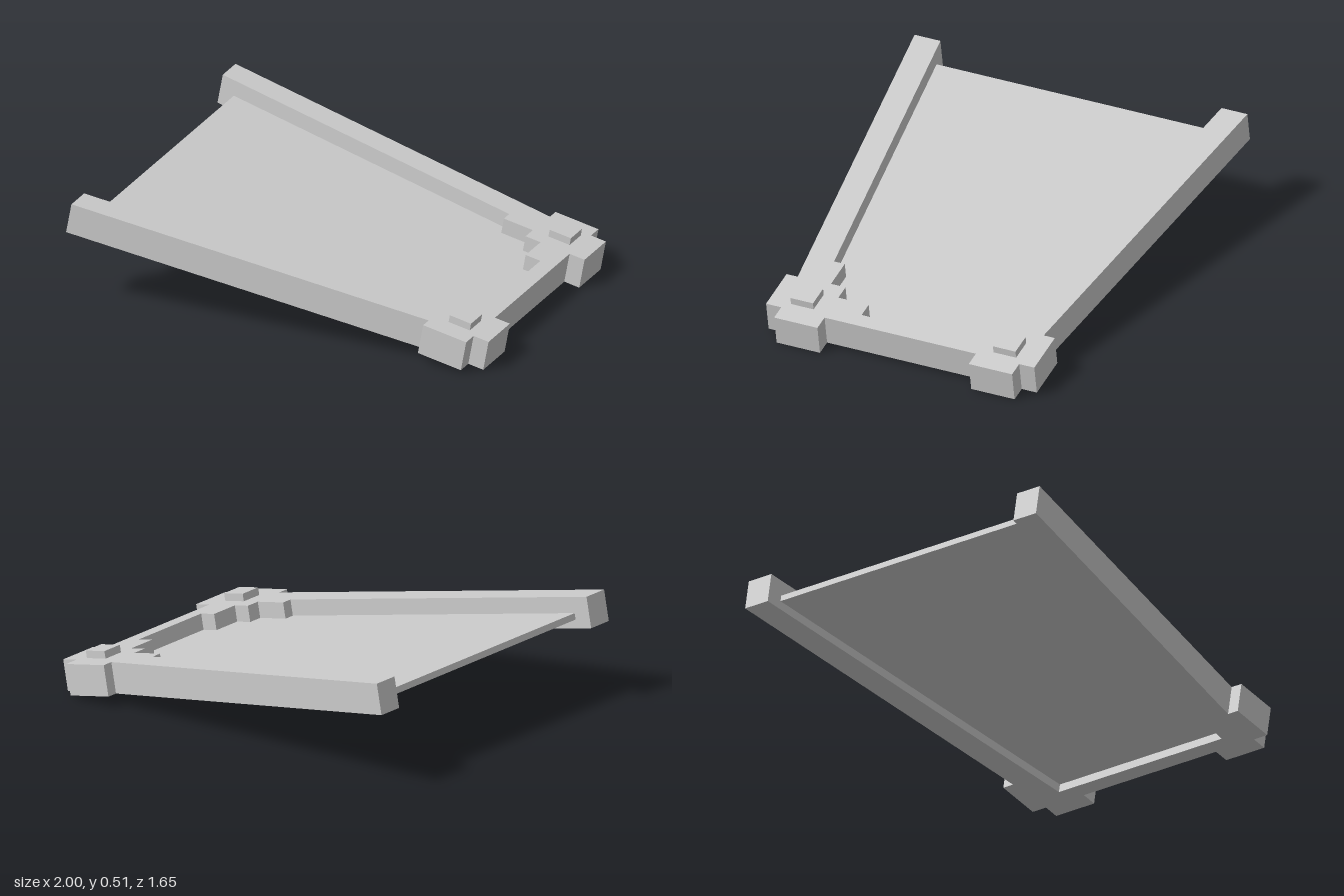
import * as THREE from 'three';

const TILT = 0.184;    // downward slope towards +x
const THICK = 0.146;   // frame thickness
const SEAT = -0.075;   // height of the panel's top below the frame's top

const material = new THREE.MeshStandardMaterial({ color: 0xcccccc, flatShading: true });

// Mirrors a half profile of [x, z] points across z = 0 into a closed shape.
function mirroredShape(half) {
  const other = half.map(([x, z]) => [x, -z]).reverse();
  return new THREE.Shape([...half, ...other].map(([x, z]) => new THREE.Vector2(x, z)));
}

// Flat plate lying between two heights.
function plate(name, half, bottom, top) {
  const geometry = new THREE.ExtrudeGeometry(mirroredShape(half), { depth: top - bottom, bevelEnabled: false });
  geometry.rotateX(-Math.PI / 2);
  geometry.translate(0, bottom, 0);
  const mesh = new THREE.Mesh(geometry, material);
  mesh.name = name;
  return mesh;
}

export function createModel() {
  const model = new THREE.Group();
  model.name = 'slopedTray';
  const tray = new THREE.Group();
  tray.name = 'tray';
  tray.rotation.z = -TILT;
  tray.position.y = 0.33;
  model.add(tray);

  // Outer edge: cross beam, corner blocks, then the flaring rail
  const outer = [
    [0.941, 0.375], [1.017, 0.375], [1.017, 0.59], [0.941, 0.59],
    [0.941, 0.665], [0.722, 0.665], [0.722, 0.61], [-0.989, 0.825],
  ];
  const railEnd = [-0.989, 0.697];

  // Upper frame has stepped inner corners, lower frame has plain ones
  const steps = [
    [0.57, 0.5], [0.57, 0.447], [0.717, 0.447], [0.717, 0.375],
    [0.793, 0.375], [0.793, 0.225], [0.868, 0.225],
  ];
  tray.add(plate('upperFrame', [...outer, railEnd, ...steps], SEAT, 0));
  tray.add(plate('lowerFrame', [...outer, railEnd, [0.868, 0.461]], -THICK, SEAT));

  // Thin panel held between the rails
  tray.add(plate('panel', [[0.9, 0.48], [-0.914, 0.71]], SEAT - 0.03, SEAT));

  // Raised square pegs on the corner blocks
  for (const side of [1, -1]) {
    const peg = new THREE.Mesh(new THREE.BoxGeometry(0.108, 0.045, 0.112), material);
    peg.name = side > 0 ? 'frontPeg' : 'backPeg';
    peg.position.set(0.851, 0.0125, side * 0.502);
    tray.add(peg);
  }
  return model;
}
